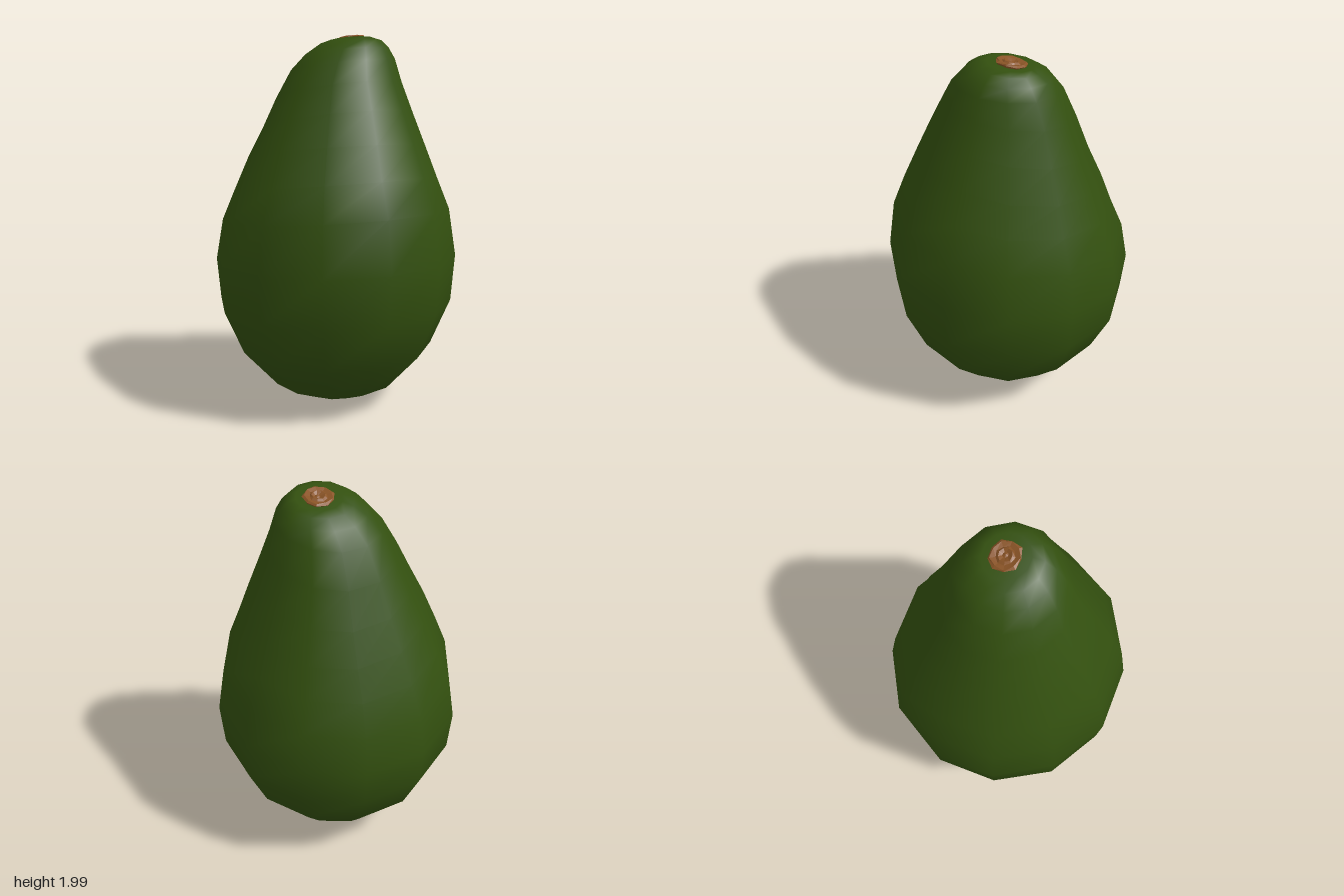
import * as THREE from 'three';
import { mergeVertices } from 'three/addons/utils/BufferGeometryUtils.js';

const skinGreen = new THREE.MeshStandardMaterial({ color: 0x33500f });
const stemBrown = new THREE.MeshStandardMaterial({ color: 0x8a5426, flatShading: true });

// Joins tilted rings [centreX, centreY, centreZ, radius, slopeX, slopeZ] from bottom to top.
function loft(rings, sides, wobble = () => 1) {
  const positions = [];
  const index = [];
  rings.forEach(([cx, cy, cz, r, sx, sz], i) => {
    for (let j = 0; j < sides; j++) {
      const a = (j / sides) * Math.PI * 2;
      const rr = r * wobble(i, j);
      const dx = rr * Math.sin(a);
      const dz = rr * Math.cos(a);
      positions.push(cx + dx, cy + sx * dx + sz * dz, cz + dz);
      if (i === 0) continue;
      const k = (j + 1) % sides;
      const low = (i - 1) * sides;
      const high = i * sides;
      if (rings[i - 1][3] > 0) index.push(low + j, low + k, high + k);
      if (r > 0) index.push(low + j, high + k, high + j);
      else if (rings[i - 1][3] > 0) index.splice(-3, 3, low + j, low + k, high);
    }
  });
  const geometry = new THREE.BufferGeometry();
  geometry.setAttribute('position', new THREE.Float32BufferAttribute(positions, 3));
  geometry.setIndex(index);
  const merged = mergeVertices(geometry, 1e-5);
  merged.computeVertexNormals();
  return merged;
}

export function createModel() {
  const group = new THREE.Group();
  group.name = 'avocado';

  // Pear-shaped body, its neck leaning a little to the left and front
  const skin = new THREE.Mesh(loft([
    [0, 0.005, 0, 0, 0, 0],
    [0, 0.03, 0, 0.17, 0, 0],
    [0, 0.11, 0, 0.345, 0, 0],
    [0, 0.32, 0, 0.535, 0, 0],
    [0, 0.56, 0, 0.64, 0, 0.03],
    [0, 0.80, 0, 0.66, 0, 0.075],
    [0, 1.04, 0, 0.62, 0, 0.13],
    [0, 1.21, 0, 0.55, 0, 0.16],
    [0.01, 1.38, -0.005, 0.48, -0.02, 0.19],
    [0.015, 1.545, 0, 0.405, 0, 0.22],
    [0.02, 1.71, 0.005, 0.335, 0.04, 0.2],
    [0.035, 1.845, 0.025, 0.275, 0.06, 0.12],
    [0.055, 1.915, 0.035, 0.22, 0.03, 0.11],
    [0.07, 1.957, 0.04, 0.168, 0.01, 0.14],
    [0.08, 1.974, 0.035, 0.118, 0, 0.16],
    [0.083, 1.967, 0.03, 0, 0, 0],
  ], 12), skinGreen);
  skin.name = 'skin';

  // Rough stem scar with a raised rim, a groove and a small core
  const rough = (i, j) => 1 + 0.06 * Math.sin(j * 2.7 + i * 1.9);
  const stem = new THREE.Mesh(loft([
    [0.083, 1.962, 0.03, 0.07, 0, 0.2],
    [0.083, 1.978, 0.03, 0.08, 0, 0.2],
    [0.083, 1.986, 0.03, 0.07, 0, 0.2],
    [0.083, 1.980, 0.03, 0.046, 0, 0.2],
    [0.083, 1.988, 0.03, 0.034, 0, 0.2],
    [0.088, 1.978, 0.033, 0.014, 0, 0.2],
    [0.088, 1.984, 0.033, 0, 0, 0],
  ], 9, rough), stemBrown);
  stem.name = 'stemScar';

  group.add(skin, stem);
  return group;
}
